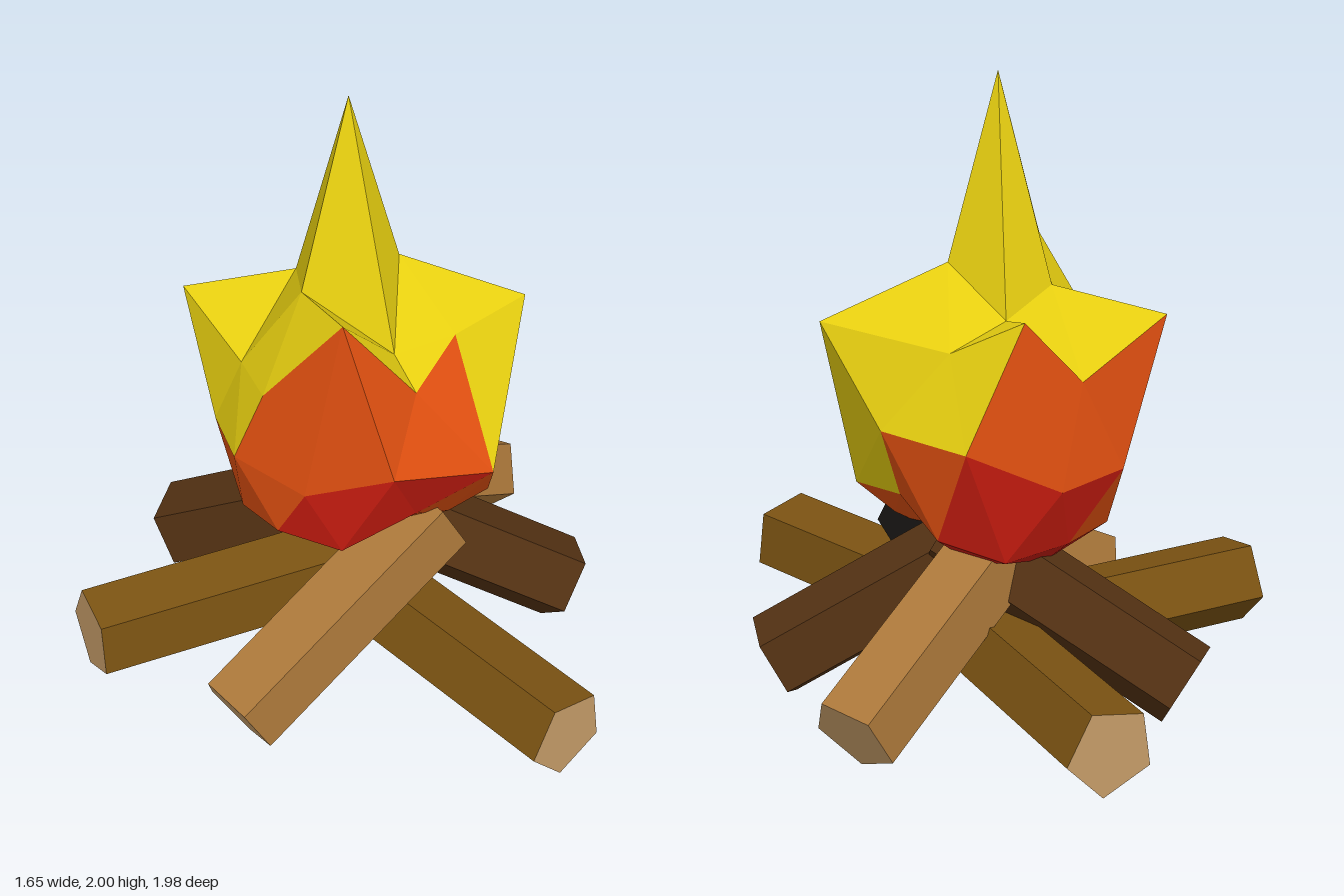
import * as THREE from 'three';

const mat = (name, color) => {
  const m = new THREE.MeshStandardMaterial({ color });
  m.name = name;
  return m;
};

export function createModel() {
  const model = new THREE.Group();
  model.name = 'campfire';

  const bark = mat('brown bark', 0x7a5212);
  const lightBark = mat('light bark', 0xa97639);
  const darkBark = mat('dark bark', 0x533113);
  const cutWood = mat('cut wood', 0xc69c68);
  const char = mat('charred wood', 0x141210);
  const flameMats = {
    yellow: mat('flame yellow', 0xe8d010),
    orange: mat('flame orange', 0xdf4f10),
    red: mat('flame red', 0xc81c10),
  };

  // Five-sided log from its outer cut end to its charred inner end
  function addLog(name, material, outer, inner) {
    const a = new THREE.Vector3(...outer), b = new THREE.Vector3(...inner);
    const geo = new THREE.CylinderGeometry(0.145, 0.145, a.distanceTo(b), 5, 1, false, -Math.PI / 18)
      .rotateX(Math.PI / 2).toNonIndexed();
    geo.computeVertexNormals();
    const log = new THREE.Mesh(geo, [material, cutWood, char]);
    log.name = name;
    log.position.copy(a).add(b).multiplyScalar(0.5);
    log.lookAt(a);
    model.add(log);
  }

  // Logs lying flat
  addLog('rightFlatLog', bark, [-0.82, 0.21, 0.035], [0.06, 0.21, -0.07]);
  addLog('backFlatLog', bark, [0.08, 0.21, -0.98], [0.15, 0.21, -0.09]);
  addLog('frontFlatLog', bark, [0.45, 0.21, 0.93], [0.10, 0.21, 0.11]);
  // Logs leaning on the pile
  addLog('frontLeaningLog', lightBark, [-0.46, 0.13, 0.45], [0.27, 0.55, 0.18]);
  addLog('backLeaningLog', lightBark, [0.69, 0.13, -0.46], [0.03, 0.55, -0.07]);
  addLog('rightLeaningLog', darkBark, [-0.38, 0.13, -0.50], [0.21, 0.55, 0.0]);
  addLog('leftLeaningLog', darkBark, [0.74, 0.13, 0.155], [0.0, 0.55, -0.04]);

  // Flame cross-sections, each ring running from +x towards +z
  const tip = [0.05, 2, -0.02], base = [0.03, 0.44, 0];
  const neck = [[0.21, 1.42, -0.01], [0.13, 1.2, 0.19], [-0.14, 1.44, 0.12], [-0.08, 1.35, -0.13], [0.1, 1.28, -0.21]];
  const crown = [
    [0.59, 1.25, 0.08], [0.32, 1.24, 0.2], [0.17, 1.11, 0.28], [-0.07, 1.42, 0.3], [-0.27, 1.1, 0.14],
    [-0.29, 1.12, -0.02], [-0.4, 1.26, -0.27], [-0.1, 1.1, -0.33], [0.1, 1.32, -0.36], [0.28, 1.2, -0.21],
  ];
  const belly = [
    [0.43, 0.65, 0.24], [0.38, 0.85, 0.405], [0.07, 0.87, 0.38], [-0.18, 0.79, 0.27], [-0.35, 0.85, 0.09],
    [-0.35, 0.85, -0.12], [-0.24, 0.8, -0.32], [0, 0.79, -0.415], [0.28, 0.92, -0.34], [0.47, 0.95, -0.12],
  ];
  const lower = [
    [0.38, 0.7, -0.03], [0.32, 0.55, 0.19], [0.17, 0.66, 0.3], [-0.07, 0.57, 0.3], [-0.24, 0.6, 0.18],
    [-0.3, 0.58, 0], [-0.24, 0.58, -0.2], [-0.06, 0.58, -0.32], [0.15, 0.55, -0.33], [0.32, 0.6, -0.2],
  ];
  const foot = [0, 1, 2, 3, 4].map((i) => {
    const t = (i + 0.5) * Math.PI * 0.4;
    return [0.02 + 0.2 * Math.cos(t), 0.48, 0.2 * Math.sin(t)];
  });

  const faces = { yellow: [], orange: [], red: [] };
  const tri = (color, a, b, c) => faces[color].push(...a, ...b, ...c);

  // Yellow peak and upper spikes; foot of the flame
  for (let i = 0; i < 5; i++) {
    const j = (i + 1) % 5, o = 2 * i, m = o + 1, n = (o + 2) % 10;
    tri('yellow', tip, neck[j], neck[i]);
    tri('yellow', neck[i], crown[m], crown[o]);
    tri('yellow', neck[i], neck[j], crown[m]);
    tri('yellow', neck[j], crown[n], crown[m]);
    const color = i === 0 || i === 2 ? 'orange' : 'red';
    tri(color, foot[i], lower[o], lower[m]);
    tri(color, foot[i], lower[m], lower[n]);
    tri(color, foot[i], lower[n], foot[j]);
    tri('red', base, foot[i], foot[j]);
  }

  // Sides of the flame
  const yellowDown = [0, 1, 5, 9], yellowUp = [0, 4, 5, 8, 9], redSide = [2, 3, 7, 8];
  for (let k = 0; k < 10; k++) {
    const p = (k + 9) % 10, n = (k + 1) % 10;
    // the big left spike reaches down across two faces
    tri(yellowDown.includes(k) ? 'yellow' : 'orange', crown[k === 1 ? 0 : k], belly[k], belly[p]);
    tri(yellowUp.includes(k) ? 'yellow' : 'orange', crown[k], crown[n], belly[k === 0 ? 1 : k]);
    tri(k === 0 ? 'yellow' : redSide.includes(k) ? 'red' : 'orange', lower[k], belly[p], belly[k]);
    tri(redSide.includes(k) ? 'red' : 'orange', lower[k], belly[k], lower[n]);
  }

  const flame = new THREE.Group();
  flame.name = 'flame';
  for (const [color, points] of Object.entries(faces)) {
    const geo = new THREE.BufferGeometry();
    geo.setAttribute('position', new THREE.Float32BufferAttribute(points, 3));
    geo.computeVertexNormals();
    const mesh = new THREE.Mesh(geo, flameMats[color]);
    mesh.name = color + 'Flame';
    flame.add(mesh);
  }
  model.add(flame);
  return model;
}
